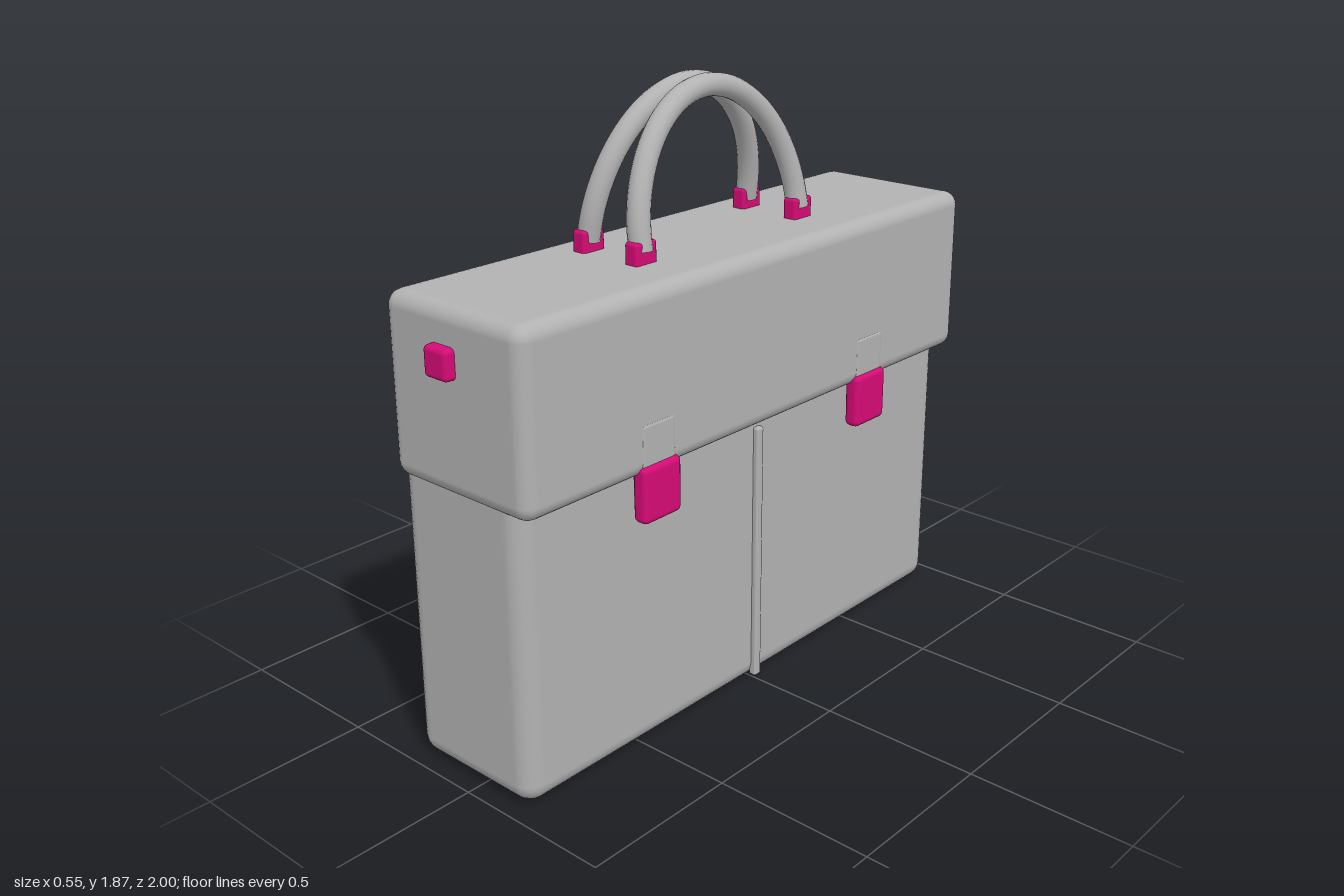
import * as THREE from 'three';
import { RoundedBoxGeometry } from 'three/addons/geometries/RoundedBoxGeometry.js';

const leather = new THREE.MeshStandardMaterial({ color: 0xb2b2b2 });
leather.name = 'grey leather';
const fitting = new THREE.MeshStandardMaterial({ color: 0xd60b76 });
fitting.name = 'magenta fittings';

export function createModel() {
  const bag = new THREE.Group();
  bag.name = 'briefcase';

  // Rounded block given by its min and max on each axis
  function block(name, material, [x0, x1], [y0, y1], [z0, z1], radius, segments = 3) {
    const geometry = new RoundedBoxGeometry(x1 - x0, y1 - y0, z1 - z0, segments, radius);
    const mesh = new THREE.Mesh(geometry, material);
    mesh.name = name;
    mesh.position.set((x0 + x1) / 2, (y0 + y1) / 2, (z0 + z1) / 2);
    bag.add(mesh);
    return mesh;
  }

  // Case and overhanging lid
  block('body', leather, [-0.272, 0.2], [0, 1.3], [-0.952, 0.952], 0.06);
  block('lid', leather, [-0.276, 0.255], [0.873, 1.4], [-0.968, 0.968], 0.045);

  // Centre seam on the broad face
  block('seam', leather, [0.19, 0.217], [0.015, 0.85], [-0.015, 0.015], 0.008, 2);

  for (const side of [1, -1]) {
    const end = side > 0 ? 'front' : 'back';
    const across = (a, b) => (side > 0 ? [a, b] : [-b, -a]);

    // Strap and clasp holding the lid
    block(end + 'Strap', leather, [0.215, 0.258], [0.8, 1.03], across(0.413, 0.55), 0.015, 2);
    block(end + 'Clasp', fitting, [0.22, 0.272], [0.738, 0.907], across(0.405, 0.555), 0.018, 2);

    // Stud on the narrow end
    block(end + 'Stud', fitting, [-0.08, 0.01], [1.21, 1.298], across(0.94, 1), 0.014, 2);

    // Mounts under the handle feet
    for (const x of [-0.137, 0.066]) {
      block(end + 'HandleMount', fitting, [x - 0.024, x + 0.024], [1.37, 1.463],
        across(0.303, 0.387), 0.01, 2);
    }
  }

  // Two arched handles leaning together until they touch
  for (const side of [1, -1]) {
    const points = [];
    for (let i = 0; i <= 16; i++) {
      const angle = (i / 16) * Math.PI;
      const rise = Math.sin(angle);
      points.push(new THREE.Vector3(
        -0.036 + side * (0.102 - 0.068 * rise),
        1.43 + 0.405 * rise,
        0.345 * Math.cos(angle)));
    }
    const curve = new THREE.CatmullRomCurve3(points);
    const handle = new THREE.Mesh(new THREE.TubeGeometry(curve, 48, 0.034, 16), leather);
    handle.name = side > 0 ? 'leftHandle' : 'rightHandle';
    bag.add(handle);

    // Flat caps closing the handle feet
    for (const t of [0, 1]) {
      const cap = new THREE.Mesh(new THREE.CircleGeometry(0.034, 16), leather);
      cap.name = 'handleFoot';
      const outward = curve.getTangentAt(t).multiplyScalar(t ? 1 : -1);
      cap.quaternion.setFromUnitVectors(new THREE.Vector3(0, 0, 1), outward);
      cap.position.copy(curve.getPointAt(t));
      bag.add(cap);
    }
  }

  return bag;
}
